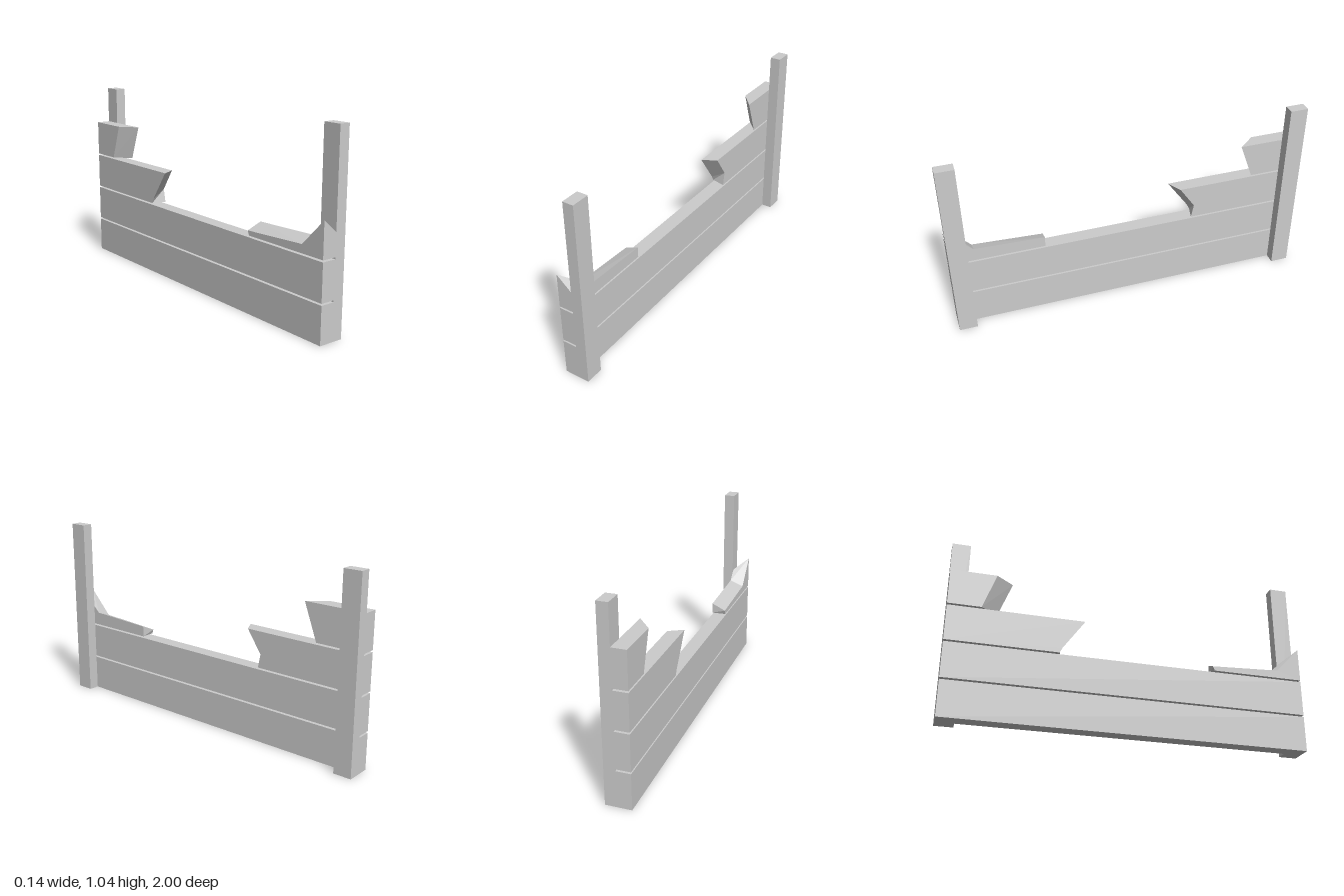
import * as THREE from 'three';

const INNER = -0.07, OUTER = 0.01, POST = 0.07; // x of board back, board front, post front
const material = new THREE.MeshStandardMaterial({ color: 0xcccccc, flatShading: true });

function block(name, x0, x1, y0, y1, z0, z1) {
  const mesh = new THREE.Mesh(new THREE.BoxGeometry(x1 - x0, y1 - y0, z1 - z0), material);
  mesh.position.set((x0 + x1) / 2, (y0 + y1) / 2, (z0 + z1) / 2);
  mesh.name = name;
  return mesh;
}

// Broken plank: joins two outlines of [z, y] corners, one on each face of the board.
// Outlines run counter-clockwise as seen from +x and have equal length.
function brokenPlank(name, outer, inner) {
  const pos = [];
  const a = outer.map(([z, y]) => [OUTER, y, z]);
  const b = inner.map(([z, y]) => [INNER, y, z]);
  const tri = (p, q, r) => pos.push(...p, ...q, ...r);
  const cap = (outline) =>
    THREE.ShapeUtils.triangulateShape(outline.map(([z, y]) => new THREE.Vector2(-z, y)), []);
  cap(outer).forEach(([i, j, k]) => tri(a[i], a[j], a[k]));
  cap(inner).forEach(([i, j, k]) => tri(b[k], b[j], b[i]));
  a.forEach((_, i) => {
    const j = (i + 1) % a.length;
    tri(a[i], b[i], b[j]);
    tri(a[i], b[j], a[j]);
  });
  const geometry = new THREE.BufferGeometry();
  geometry.setAttribute('position', new THREE.Float32BufferAttribute(pos, 3));
  geometry.computeVertexNormals();
  const mesh = new THREE.Mesh(geometry, material);
  mesh.name = name;
  return mesh;
}

export function createModel() {
  const group = new THREE.Group();
  group.name = 'brokenFence';

  // Upright posts at both ends
  group.add(block('frontPost', OUTER, POST, 0, 1.04, 0.9, 1));
  group.add(block('backPost', OUTER, POST, 0, 1.04, -1, -0.9));

  // Two whole boards
  group.add(block('bottomBoard', INNER, OUTER, 0, 0.2, -1, 1));
  group.add(block('secondBoard', INNER, OUTER, 0.21, 0.41, -1, 1));

  // Third board, front stub with a splinter rising at the post
  group.add(brokenPlank('thirdBoardFrontStub',
    [[1, 0.42], [0.475, 0.42], [0.475, 0.48], [0.86, 0.495], [0.92, 0.55], [1, 0.54]],
    [[1, 0.42], [0.48, 0.42], [0.47, 0.445], [0.86, 0.465], [1, 0.61], [1, 0.61]]));

  // Third board, back stub with an overhanging broken end
  group.add(brokenPlank('thirdBoardBackStub',
    [[-0.375, 0.42], [-1, 0.42], [-1, 0.62], [-0.305, 0.62], [-0.39, 0.495]],
    [[-0.395, 0.42], [-1, 0.42], [-1, 0.62], [-0.26, 0.62], [-0.38, 0.45]]));

  // Top board, short stub with a slanted break
  group.add(brokenPlank('topBoardStub',
    [[-0.73, 0.63], [-1, 0.63], [-1, 0.83], [-0.655, 0.83]],
    [[-0.82, 0.63], [-1, 0.63], [-1, 0.83], [-0.75, 0.83]]));

  return group;
}
